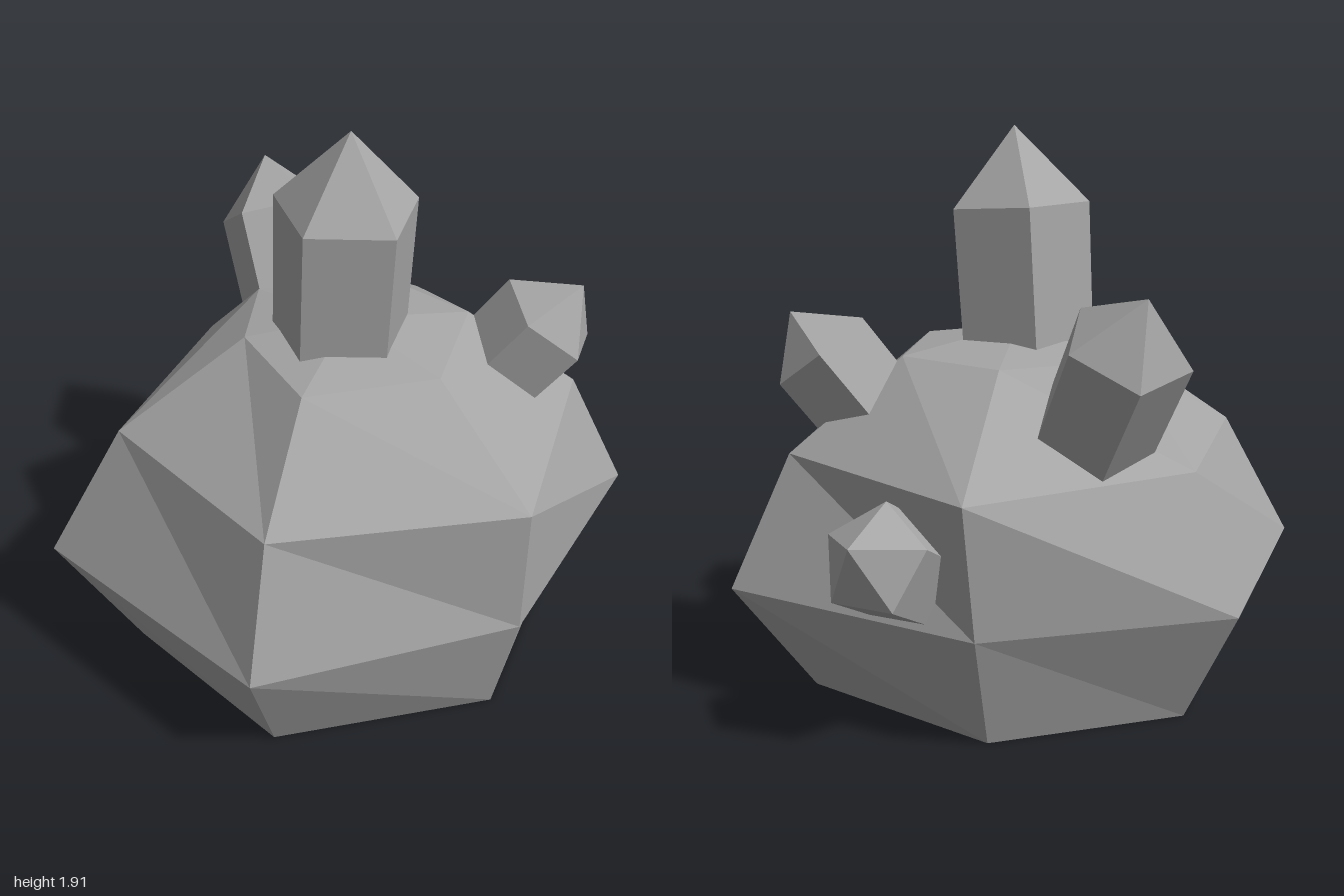
import * as THREE from 'three';

const stone = new THREE.MeshStandardMaterial({ color: 0xa6a6a6, flatShading: true });
stone.name = 'grey stone';

// Faceted solid from stacked rings (bottom to top), closed by a tip and a flat base
function facetedSolid(rings, tip) {
  const n = rings[0].length;
  const points = [];
  const tri = (a, b, c) => points.push(a, b, c);
  for (let i = 0; i < n; i++) {
    const j = (i + 1) % n;
    for (let k = 0; k < rings.length - 1; k++) {
      const low = rings[k], up = rings[k + 1];
      tri(low[i], low[j], up[i]);
      tri(low[j], up[j], up[i]);
    }
    const top = rings[rings.length - 1];
    tri(top[i], top[j], tip);
    if (i > 0 && i < n - 1) tri(rings[0][0], rings[0][j], rings[0][i]);
  }
  const geometry = new THREE.BufferGeometry().setFromPoints(points);
  geometry.computeVertexNormals();
  return geometry;
}

// Five-sided crystal: a prism along its axis with a pyramid point
function crystal({ name, tip, axis, point, radius, length, toward, taper = 1 }) {
  const apex = new THREE.Vector3(...tip);
  const dir = new THREE.Vector3(...axis).normalize();
  const u = new THREE.Vector3(...toward).projectOnPlane(dir).normalize();
  const v = dir.clone().cross(u);
  const ring = (depth, r) => Array.from({ length: 5 }, (_, i) => {
    const a = (i * Math.PI * 2) / 5;
    return apex.clone().addScaledVector(dir, -depth)
      .addScaledVector(u, r * Math.cos(a))
      .addScaledVector(v, r * Math.sin(a));
  });
  const rings = [ring(point + length, radius * taper), ring(point, radius)];
  const mesh = new THREE.Mesh(facetedSolid(rings, apex), stone);
  mesh.name = name;
  return mesh;
}

export function createModel() {
  const model = new THREE.Group();
  model.name = 'crystalRock';

  // Boulder: irregular six-sided rings, [x, z] corners from the front round by +x
  const levels = [
    { y: 0, ring: [[0.19, 0.8], [0.73, 0.27], [0.6, -0.42], [-0.15, -0.61], [-0.655, -0.15], [-0.5, 0.6]] },
    { y: 0.4, ring: [[0.24, 1], [0.835, 0.31], [0.78, -0.65], [-0.18, -0.76], [-0.855, -0.22], [-0.735, 0.76]] },
    { y: 0.85, ring: [[0.21, 0.85], [0.85, 0.31], [0.63, -0.5], [-0.17, -0.82], [-0.68, -0.16], [-0.55, 0.58]] },
    { y: 1.16, ring: [[0.13, 0.5], [0.45, 0.18], [0.33, -0.25], [-0.06, -0.32], [-0.37, -0.02], [-0.23, 0.28]] },
  ];
  const rings = levels.map(({ y, ring }) => ring.map(([x, z]) => new THREE.Vector3(x, y, z)));
  const boulder = new THREE.Mesh(facetedSolid(rings, new THREE.Vector3(0.06, 1.23, 0.1)), stone);
  boulder.name = 'boulder';
  model.add(boulder);

  // Crystals growing out of the boulder
  model.add(
    crystal({ name: 'topCrystal', tip: [0.09, 1.91, 0.13], axis: [0.07, 1, 0.03], point: 0.268,
      radius: 0.245, length: 0.55, toward: [-0.05, 0, 1], taper: 0.96 }),
    crystal({ name: 'rightCrystal', tip: [-0.61, 1.45, -0.44], axis: [-0.43, 0.85, -0.3], point: 0.2,
      radius: 0.213, length: 0.45, toward: [0.06, 0.03, 1], taper: 0.97 }),
    crystal({ name: 'leftCrystal', tip: [0.69, 1.305, -0.37], axis: [0.58, 0.78, -0.23], point: 0.165,
      radius: 0.187, length: 0.38, toward: [-0.13, 0.1, 1], taper: 0.97 }),
    crystal({ name: 'backCrystal', tip: [0.12, 0.735, -1], axis: [0.03, 0.47, -0.88], point: 0.16,
      radius: 0.185, length: 0.36, toward: [0, 1, 0], taper: 0.97 }),
  );
  return model;
}
